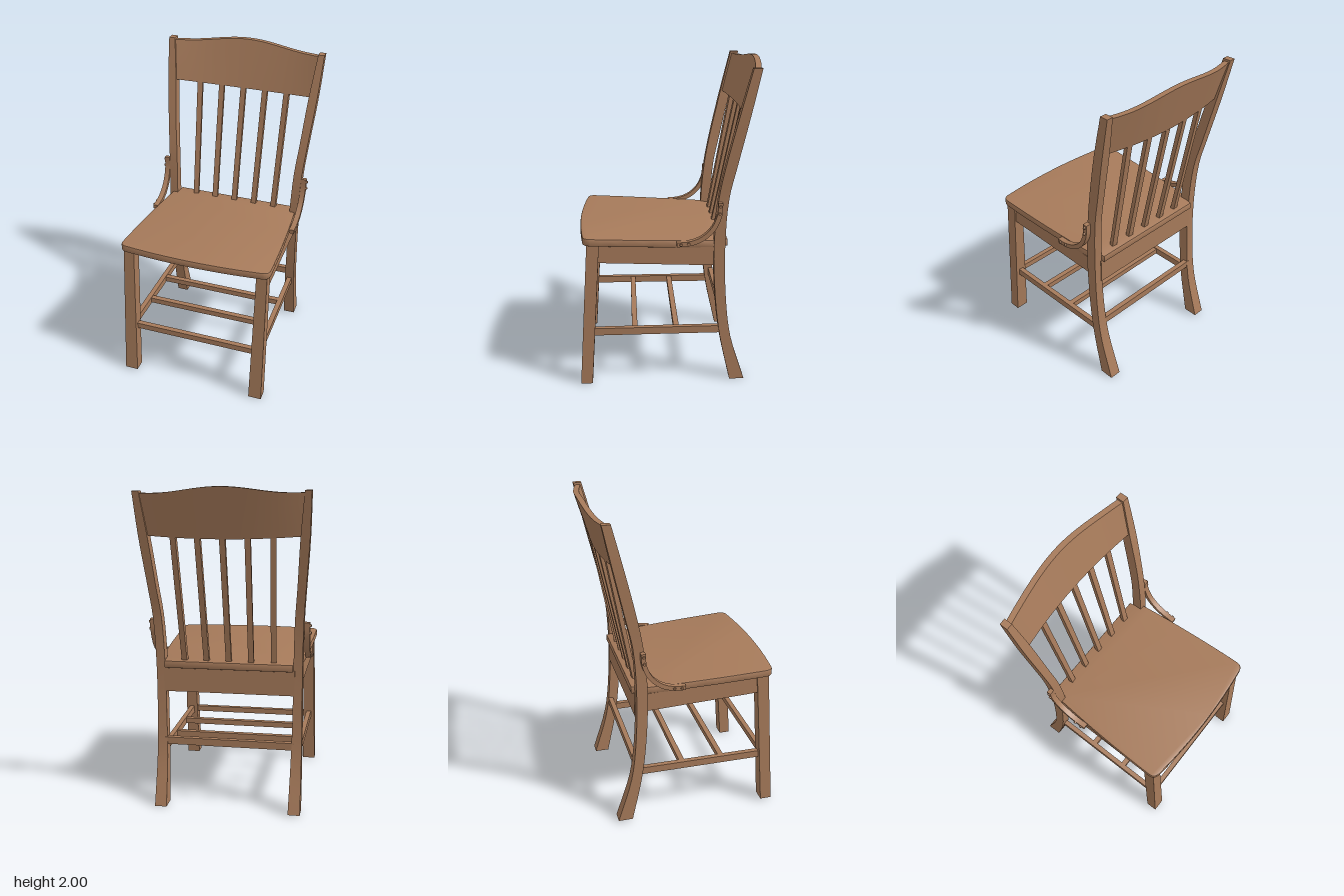
import * as THREE from 'three';
import { toCreasedNormals } from 'three/addons/utils/BufferGeometryUtils.js';

const V = (x, y, z) => new THREE.Vector3(x, y, z);

// Skin of four-cornered rings, capped at both ends.
function loft(rings, flip = false) {
  const pos = [];
  const quad = (a, b, c, d) => {
    for (const p of flip ? [a, c, b, a, d, c] : [a, b, c, a, c, d]) pos.push(p.x, p.y, p.z);
  };
  for (let i = 0; i < rings.length - 1; i++) {
    for (let k = 0; k < 4; k++) {
      const n = (k + 1) % 4;
      quad(rings[i][k], rings[i][n], rings[i + 1][n], rings[i + 1][k]);
    }
  }
  const [a, b] = [rings[0], rings[rings.length - 1]];
  quad(a[3], a[2], a[1], a[0]);
  quad(b[0], b[1], b[2], b[3]);
  const g = new THREE.BufferGeometry();
  g.setAttribute('position', new THREE.Float32BufferAttribute(pos, 3));
  return toCreasedNormals(g, 0.6);
}

// Upright timber: keys are [y, inner x, outer x, back z, front z].
function timber(keys, s, steps) {
  const xs = new THREE.CatmullRomCurve3(keys.map(k => V(k[1], k[0], k[2])));
  const zs = new THREE.CatmullRomCurve3(keys.map(k => V(k[3], k[0], k[4])));
  const rings = [];
  for (let i = 0; i <= steps; i++) {
    const p = xs.getPoint(i / steps), q = zs.getPoint(i / steps);
    rings.push([V(s * p.x, p.y, q.z), V(s * p.z, p.y, q.z), V(s * p.z, p.y, q.x), V(s * p.x, p.y, q.x)]);
  }
  return loft(rings, s < 0);
}

export function createModel() {
  const root = new THREE.Group();
  root.name = 'chair';
  const chair = new THREE.Group();
  chair.name = 'chairBody';
  root.add(chair);
  const wood = new THREE.MeshStandardMaterial({ name: 'brown wood', color: 0xa67a5a });

  const add = (name, geometry) => {
    const m = new THREE.Mesh(geometry, wood);
    m.name = name;
    chair.add(m);
    return m;
  };
  // Straight bar of width w and height h between two points.
  const bar = (name, a, b, w, h) => {
    const m = add(name, new THREE.BoxGeometry(w, h, a.distanceTo(b)));
    m.position.copy(a).lerp(b, 0.5);
    m.lookAt(b);
    return m;
  };

  // Seat: tapered plate with rounded front corners, sloping down to the back
  const outline = new THREE.Shape();
  outline.moveTo(-0.4, 0.355);
  outline.lineTo(-0.41, 0.29);
  outline.lineTo(-0.437, 0.28);
  outline.quadraticCurveTo(-0.474, -0.1, -0.48, -0.48);
  outline.quadraticCurveTo(-0.48, -0.522, -0.44, -0.53);
  outline.quadraticCurveTo(0, -0.585, 0.44, -0.53);
  outline.quadraticCurveTo(0.48, -0.522, 0.48, -0.48);
  outline.quadraticCurveTo(0.474, -0.1, 0.437, 0.28);
  outline.lineTo(0.41, 0.29);
  outline.lineTo(0.4, 0.355);
  outline.closePath();
  const seat = new THREE.ExtrudeGeometry(outline, {
    depth: 0.031, bevelThickness: 0.008, bevelSize: 0.008, bevelOffset: -0.008, bevelSegments: 2, curveSegments: 12,
  });
  seat.rotateX(-Math.PI / 2);
  const sp = seat.attributes.position;
  for (let i = 0; i < sp.count; i++) sp.setY(i, sp.getY(i) + 0.903 + 0.047 * sp.getZ(i));
  add('seat', toCreasedNormals(seat, 0.6));

  const frontLeg = [[0, 0.39, 0.474, 0.49, 0.563], [0.92, 0.396, 0.463, 0.43, 0.505]];
  const backPost = [
    [0, 0.385, 0.46, -0.47, -0.378], [0.3, 0.392, 0.458, -0.378, -0.312],
    [0.55, 0.398, 0.457, -0.345, -0.28], [0.9, 0.402, 0.457, -0.333, -0.265],
    [1.2, 0.411, 0.465, -0.35, -0.288], [1.4, 0.428, 0.48, -0.392, -0.325],
    [1.7, 0.45, 0.505, -0.458, -0.395], [1.97, 0.478, 0.518, -0.515, -0.463],
  ];
  const bracePath = new THREE.CatmullRomCurve3([
    V(0, 1.18, -0.296), V(0, 1.1, -0.29), V(0, 1.015, -0.252), V(0, 0.955, -0.185), V(0, 0.928, -0.11), V(0, 0.922, -0.037),
  ]);

  for (const s of [-1, 1]) {
    const side = s > 0 ? 'left' : 'right';
    add(side + 'FrontLeg', timber(frontLeg, s, 1));
    add(side + 'BackPost', timber(backPost, s, 28));

    // Side apron under the seat
    const section = (z, x, y0, y1) => [V(s * x, y0, z), V(s * (x + 0.03), y0, z), V(s * (x + 0.03), y1, z), V(s * x, y1, z)];
    add(side + 'Apron', loft([section(-0.28, 0.412, 0.77, 0.887), section(0.45, 0.425, 0.804, 0.92)], s < 0));

    // Curved brace joining post and seat
    const rings = [];
    for (let i = 0; i <= 16; i++) {
      const p = bracePath.getPoint(i / 16), t = bracePath.getTangent(i / 16);
      const n = V(0, -t.z, t.y).multiplyScalar(0.014);
      const x0 = 0.457 + 0.007 * (1 - i / 16), x1 = x0 + 0.034;
      rings.push([
        V(s * x0, p.y - n.y, p.z - n.z), V(s * x1, p.y - n.y, p.z - n.z),
        V(s * x1, p.y + n.y, p.z + n.z), V(s * x0, p.y + n.y, p.z + n.z),
      ]);
    }
    add(side + 'Brace', loft(rings, s > 0));

    // Screw heads on the brace
    for (const [y, z] of [[1.16, -0.295], [1.115, -0.291], [0.928, -0.108], [0.923, -0.062]]) {
      const screw = add(side + 'BraceScrew', new THREE.CylinderGeometry(0.008, 0.01, 0.012, 10));
      screw.rotation.z = -s * Math.PI / 2;
      screw.position.set(s * (y > 1 ? 0.5 : 0.494), y, z);
    }

    bar(side + 'Stretcher', V(s * 0.425, 0.341, -0.32), V(s * 0.43, 0.341, 0.49), 0.032, 0.046);
  }

  // Back apron and cross stretchers
  bar('backApron', V(-0.41, 0.805, -0.318), V(0.41, 0.805, -0.318), 0.04, 0.16);
  bar('frontStretcher', V(-0.41, 0.341, 0.5), V(0.41, 0.341, 0.5), 0.032, 0.038);
  bar('backStretcher', V(-0.41, 0.403, -0.342), V(0.41, 0.403, -0.342), 0.032, 0.046);
  for (const z of [0.22, -0.04]) bar('middleStretcher', V(-0.425, 0.341, z), V(0.425, 0.341, z), 0.034, 0.036);

  // Crest rail: bowed backwards, leaning, with a raised middle
  const crest = new THREE.BoxGeometry(2, 1, 1, 28, 4, 1);
  const cp = crest.attributes.position;
  for (let i = 0; i < cp.count; i++) {
    const u = cp.getX(i), v = cp.getY(i) + 0.5, w = cp.getZ(i) - 0.5;
    const bow = 1 - u * u;
    const hump = 0.5 + 0.5 * Math.cos(Math.PI * Math.min(1, Math.abs(u) / 0.85));
    const bottom = 1.708 - 0.015 * bow, top = 1.957 + 0.038 * hump;
    const front = THREE.MathUtils.lerp(-0.405 - 0.04 * bow, -0.468 - 0.062 * bow, v);
    cp.setXYZ(i, u * (0.462 + 0.026 * v), THREE.MathUtils.lerp(bottom, top, v), front + w * 0.035);
  }
  add('crestRail', toCreasedNormals(crest, 0.6));

  // Five back slats fanning out upwards
  for (let i = -2; i <= 2; i++) {
    const bow = 1 - (i * 0.147 / 0.46) ** 2;
    bar('backSlat', V(i * 0.139, 0.915, -0.308), V(i * 0.148, 1.73, -0.432 - 0.038 * bow), 0.035, 0.027);
  }

  // The whole chair stands very slightly askew
  chair.rotation.z = -0.011;
  chair.position.set(-0.016, 0.005, 0);
  root.rotation.y = -0.006;
  return root;
}
